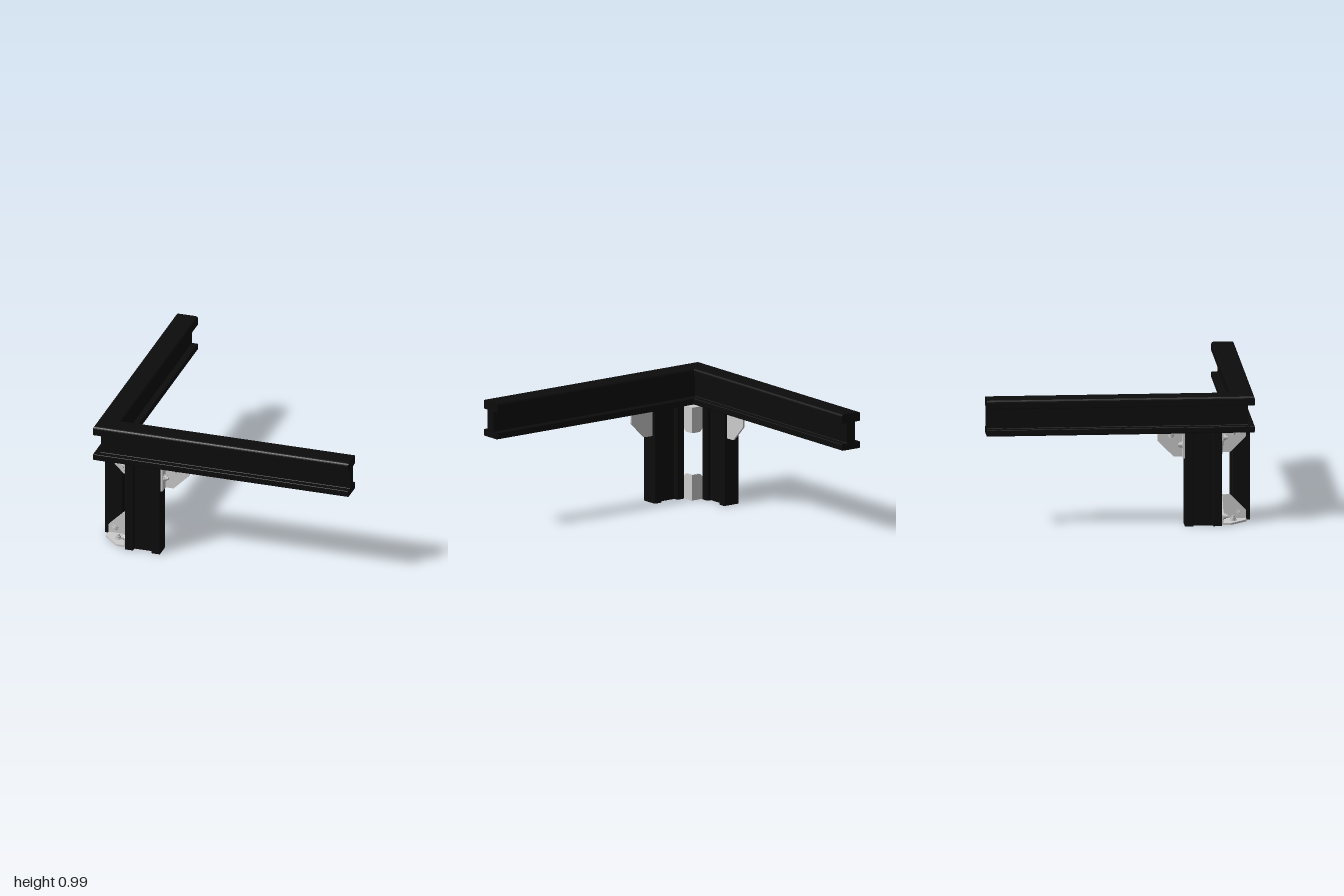
import * as THREE from 'three';

const X = new THREE.Vector3(1, 0, 0), Y = new THREE.Vector3(0, 1, 0), Z = new THREE.Vector3(0, 0, 1);
const neg = (v) => v.clone().negate();
const black = new THREE.MeshStandardMaterial({ color: 0x0c0c0c });
const grey = new THREE.MeshStandardMaterial({ color: 0xcccccc });

// swaps the two arms of the corner: (x, z) -> (-z, -x)
const SWAP = new THREE.Matrix4().makeBasis(neg(Z), Y, neg(X));

// frame with axes u, v, w and origin o
const frame = (u, v, w, o) => new THREE.Matrix4().makeBasis(u, v, w).setPosition(...o);

// applies a matrix and keeps faces outward when it mirrors
function place(geo, m) {
  const g = geo.index ? geo.toNonIndexed() : geo.clone();
  g.applyMatrix4(m);
  if (m.determinant() < 0) {
    for (const a of Object.values(g.attributes)) {
      const n = a.itemSize;
      for (let i = 0; i < a.count; i += 3) {
        for (let k = 0; k < n; k++) {
          const p = (i + 1) * n + k, q = (i + 2) * n + k, t = a.array[p];
          a.array[p] = a.array[q];
          a.array[q] = t;
        }
      }
    }
  }
  return g;
}

// polygon with rounded corners; each point is [x, y, radius]
function roundedShape(pts) {
  const s = new THREE.Shape();
  pts.forEach(([x, y, r], i) => {
    const c = new THREE.Vector2(x, y);
    const toward = (p) => new THREE.Vector2(p[0], p[1]).sub(c).setLength(r).add(c);
    const a = toward(pts[(i + pts.length - 1) % pts.length]);
    const b = toward(pts[(i + 1) % pts.length]);
    if (i) s.lineTo(a.x, a.y); else s.moveTo(a.x, a.y);
    s.quadraticCurveTo(x, y, b.x, b.y);
  });
  s.closePath();
  return s;
}

// I-shaped section: width w, height h, flanges fb and ft, channel depth d
function iSection(w, h, fb, ft, d, rb, rt) {
  const half = [
    [w / 2, 0, rb], [w / 2, fb, 0.006], [w / 2 - d, fb, 0.006],
    [w / 2 - d, h - ft, 0.006], [w / 2, h - ft, 0.006], [w / 2, h, rt],
  ];
  return roundedShape([...half, ...half.map(([x, y, r]) => [-x, y, r]).reverse()]);
}

const extrude = (shape, depth) =>
  new THREE.ExtrudeGeometry(shape, { depth, bevelEnabled: false, curveSegments: 5 });

// square plate with its far corner cut off
const T = 0.014;
const gusset = (s, cut) => extrude(roundedShape([
  [0, 0, 0.008], [s, 0, 0.008], [s, s - cut, 0.008], [s - cut, s, 0.008], [0, s, 0.008],
]), T);

// hex nut with washer and stud, standing on point p along direction dir
function bolt(group, p, dir) {
  const b = new THREE.Group();
  b.name = 'bolt';
  [['washer', 0.027, 0.006, 20], ['nut', 0.022, 0.022, 6], ['stud', 0.012, 0.034, 12]].forEach(([name, r, h, n]) => {
    const m = new THREE.Mesh(new THREE.CylinderGeometry(r, r, h, n), grey);
    m.position.y = h / 2;
    m.name = name;
    b.add(m);
  });
  b.position.set(...p);
  b.quaternion.setFromUnitVectors(Y, dir);
  group.add(b);
}

function addMesh(group, name, geo, mat) {
  const m = new THREE.Mesh(geo, mat);
  m.name = name;
  group.add(m);
}

// three-way bracket joining both posts; up = 1 or -1 is the way it opens
function cornerBracket(name, y, up) {
  const g = new THREE.Group();
  g.name = name;
  const a = neg(X), b = Y.clone().multiplyScalar(up), c = Z;
  const o = [-0.757, y, 0.757], plate = gusset(0.195, 0.12);
  addMesh(g, 'sidePlate', place(plate, frame(a, b, c, o)), grey);
  addMesh(g, 'frontPlate', place(plate, frame(c, b, a, o)), grey);
  addMesh(g, 'flatPlate', place(plate, frame(a, c, b, o)), grey);
  const yb = y + up * 0.055;
  bolt(g, [-0.90, yb, 0.757 + T], c);
  bolt(g, [-0.757 - T, yb, 0.90], a);
  bolt(g, [-0.85, y + up * T, 0.85], b);
  return g;
}

export function createModel() {
  const model = new THREE.Group();
  model.name = 'cornerFrame';

  // beam along x with a mitred end at the corner
  const beam = extrude(iSection(0.17, 0.277, 0.05, 0.07, 0.048, 0.012, 0.022), 2);
  const pos = beam.attributes.position;
  for (let i = 0; i < pos.count; i++) if (pos.getZ(i) < 1e-6) pos.setZ(i, 0.085 - pos.getX(i));
  beam.computeVertexNormals();
  const beamGeo = place(beam, frame(Z, Y, X, [-1, 0.71, 0.915]));

  // post with channels on its wide faces
  const post = extrude(iSection(0.135, 0.275, 0.065, 0.065, 0.035, 0.008, 0.008), 0.712);
  const postGeo = place(post, frame(Z, X, Y, [-0.755, 0, 0.9175]));

  // angle bracket under the beam, open to the outside
  const S = 0.197, W = 0.09;
  const web = place(gusset(S, 0.12), frame(X, neg(Y), Z, [-0.48, 0.712, 0.875]));
  const upright = new THREE.BoxGeometry(T, S, W).translate(-0.48 + T / 2, 0.712 - S / 2, 0.875 + W / 2);
  const ledge = new THREE.BoxGeometry(S, T, W).translate(-0.48 + S / 2, 0.712 - T / 2, 0.875 + W / 2);

  // both arms are mirror images across the corner
  [['front', new THREE.Matrix4()], ['side', SWAP]].forEach(([side, m]) => {
    addMesh(model, side + 'Beam', place(beamGeo, m), black);
    addMesh(model, side + 'Post', place(postGeo, m), black);
    const bracket = new THREE.Group();
    bracket.name = side + 'BeamBracket';
    addMesh(bracket, 'gusset', place(web, m), grey);
    addMesh(bracket, 'upright', place(upright, m), grey);
    addMesh(bracket, 'ledge', place(ledge, m), grey);
    const at = (x, y, z) => new THREE.Vector3(x, y, z).applyMatrix4(m).toArray();
    bolt(bracket, at(-0.48 + T, 0.61, 0.92), X.clone().applyMatrix4(m));
    bolt(bracket, at(-0.38, 0.712 - T, 0.92), neg(Y));
    model.add(bracket);
  });

  model.add(cornerBracket('upperCornerBracket', 0.712, -1));
  model.add(cornerBracket('lowerCornerBracket', 0.002, 1));
  return model;
}
